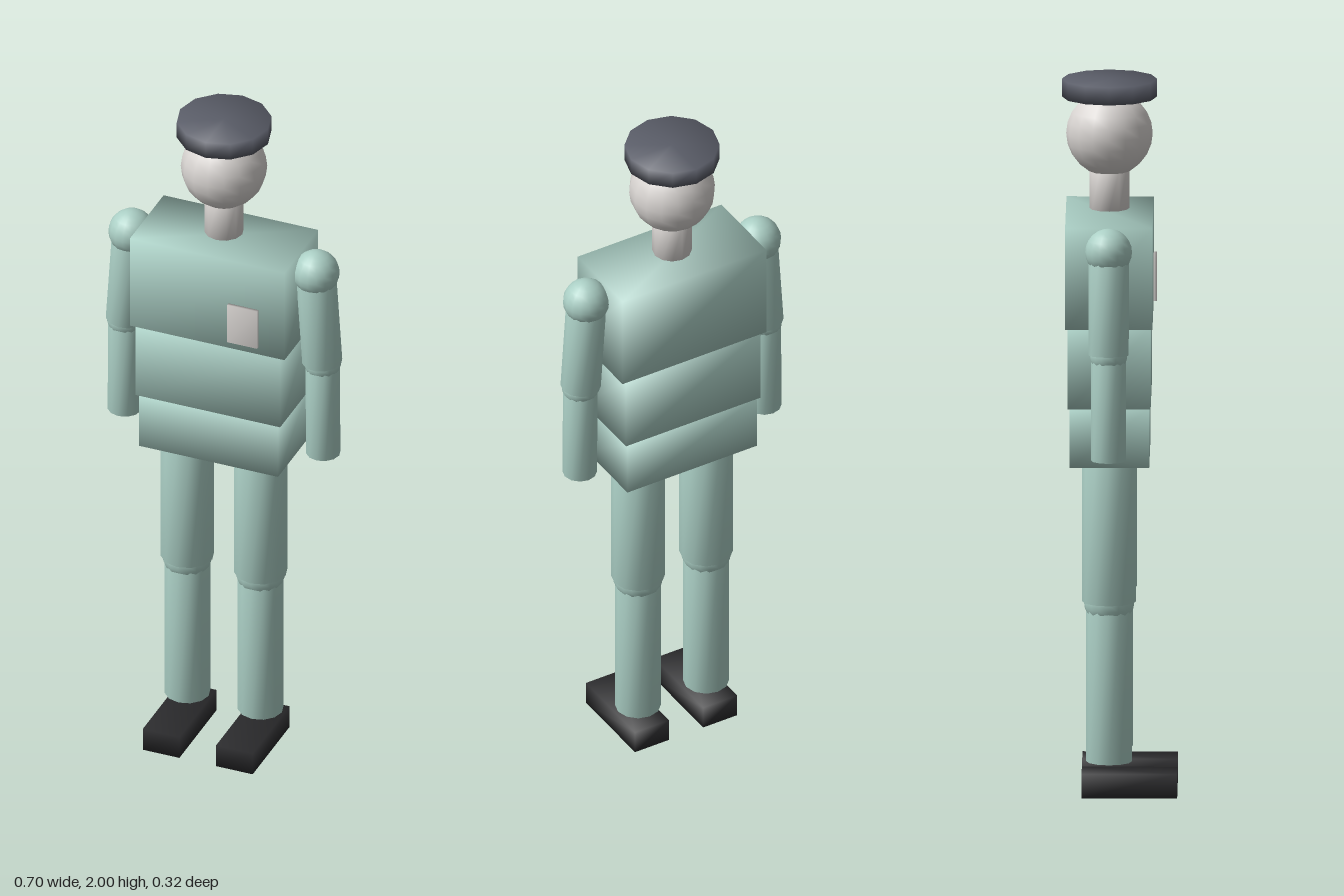
import * as THREE from 'three';
import { mergeVertices } from 'three/addons/utils/BufferGeometryUtils.js';

const mat = (name, color) => {
  const m = new THREE.MeshStandardMaterial({ color });
  m.name = name;
  return m;
};

// Weld corners so shading runs smoothly over every edge
function weld(geometry) {
  geometry.deleteAttribute('normal');
  geometry.deleteAttribute('uv');
  const g = mergeVertices(geometry, 1e-4);
  g.computeVertexNormals();
  return g;
}

export function createModel() {
  const root = new THREE.Group();
  root.name = 'uniformedFigure';
  const cloth = mat('uniformGreen', 0xabcfc5);
  const skin = mat('paleSkin', 0xd8d4d1);
  const capGrey = mat('capGrey', 0x5a5d68);
  const shoeBlack = mat('shoeBlack', 0x2c2c2e);
  const Z = -0.029; // body axis

  function add(name, geometry, material, x, y, z, parent = root) {
    const mesh = new THREE.Mesh(weld(geometry), material);
    mesh.name = name;
    mesh.position.set(x, y, z);
    parent.add(mesh);
    return mesh;
  }
  const box = (name, m, w, y0, y1, z0, z1, x = 0, parent = root) =>
    add(name, new THREE.BoxGeometry(w, y1 - y0, z1 - z0), m, x, (y0 + y1) / 2, (z0 + z1) / 2, parent);
  const ball = (name, m, r, x, y, parent = root) =>
    add(name, new THREE.SphereGeometry(r, 16, 12), m, x, y, Z, parent);
  // Round limb between two points in the x-y plane
  function limb(name, m, r, x0, y0, x1, y1, parent = root) {
    const h = Math.hypot(x1 - x0, y1 - y0);
    const mesh = add(name, new THREE.CylinderGeometry(r, r, h, 12), m, (x0 + x1) / 2, (y0 + y1) / 2, Z, parent);
    mesh.rotation.z = Math.atan2(x0 - x1, y1 - y0);
    return mesh;
  }

  // Torso blocks
  box('chest', cloth, 0.464, 1.336, 1.622, -0.15, 0.092);
  box('abdomen', cloth, 0.434, 1.109, 1.336, -0.143, 0.087);
  box('pelvis', cloth, 0.418, 0.942, 1.109, -0.138, 0.083);
  box('chestBadge', skin, 0.09, 1.36, 1.482, 0.0925, 0.102, 0.109);

  // Head, neck and flat cap
  limb('neck', skin, 0.055, 0, 1.635, 0, 1.75);
  ball('head', skin, 0.12, 0, 1.847);
  limb('cap', capGrey, 0.132, 0, 1.95, 0, 2);

  for (const s of [1, -1]) {
    const side = s > 0 ? 'left' : 'right';

    // Arm
    const arm = new THREE.Group();
    arm.name = side + 'Arm';
    root.add(arm);
    ball('shoulder', cloth, 0.065, s * 0.277, 1.565, arm);
    limb('upperArm', cloth, 0.056, s * 0.295, 1.277, s * 0.276, 1.565, arm);
    ball('elbow', cloth, 0.052, s * 0.296, 1.277, arm);
    limb('forearm', cloth, 0.048, s * 0.298, 0.98, s * 0.296, 1.277, arm);

    // Leg
    const leg = new THREE.Group();
    leg.name = side + 'Leg';
    root.add(leg);
    limb('thigh', cloth, 0.075, s * 0.11, 0.546, s * 0.11, 0.942, leg);
    ball('knee', cloth, 0.07, s * 0.11, 0.546, leg);
    limb('shin', cloth, 0.064, s * 0.11, 0.095, s * 0.11, 0.546, leg);
    box('shoe', shoeBlack, 0.11, 0, 0.068, -0.105, 0.16, s * 0.11, leg);
  }
  return root;
}
